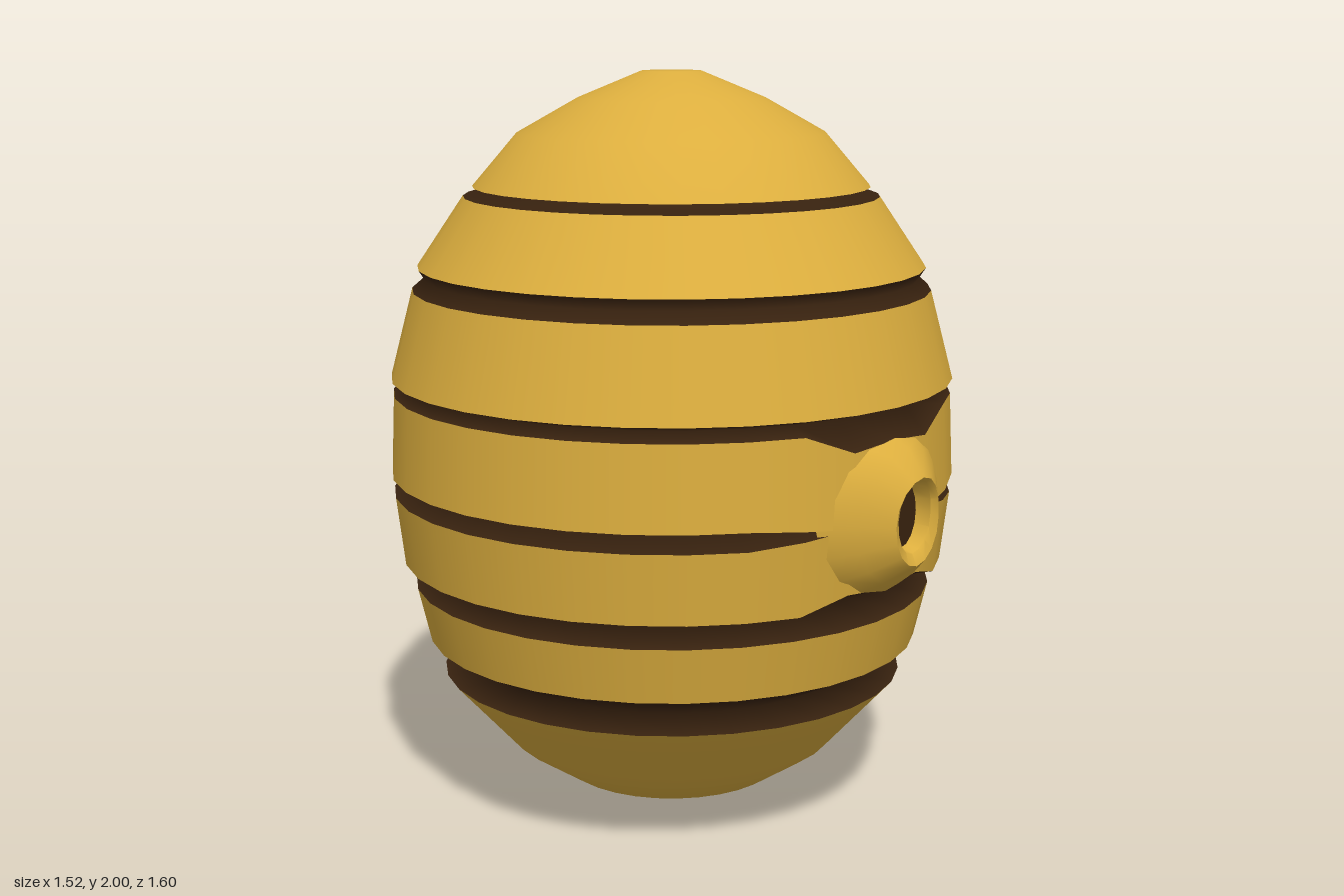
import * as THREE from 'three';
import { toCreasedNormals } from 'three/addons/utils/BufferGeometryUtils.js';

const SIDES = 32;
const AXIS_Z = -0.04;

// Coils from bottom to top, each a list of [radius, height].
const coils = [
  [[0, 0], [0.1, 0], [0.3, 0.08], [0.45, 0.18], [0.63, 0.38]],
  [[0.67, 0.48], [0.705, 0.63]],
  [[0.735, 0.70], [0.757, 0.885]],
  [[0.762, 0.935], [0.752, 1.155]],
  [[0.757, 1.195], [0.695, 1.43]],
  [[0.68, 1.49], [0.555, 1.675]],
  [[0.53, 1.70], [0.41, 1.84], [0.25, 1.93], [0.08, 2], [0, 2]],
];
// Deepest point of the groove above each coil.
const grooves = [[0.49, 0.39], [0.58, 0.665], [0.58, 0.91], [0.69, 1.175], [0.66, 1.46], [0.38, 1.69]];

// Coil edges that bend where they meet the entrance: height, new height, pull at each step from the front.
const bends = [
  [0.70, 0.735, [0.7, 1, 0]],
  [0.885, 0.91, [1, 1, 0.45]],
  [0.935, 0.91, [1, 1, 0.45]],
  [1.155, 1.10, [0.75, 1, 0]],
];

function revolve(profile) {
  const points = profile.map(([r, y]) => new THREE.Vector2(r, y));
  const geometry = new THREE.LatheGeometry(points, SIDES);
  const pos = geometry.attributes.position;
  for (let i = 0; i < pos.count; i++) {
    const step = Math.floor(i / points.length);
    const fromFront = Math.min(step, SIDES - step);
    for (const [from, to, pull] of bends) {
      if (Math.abs(pos.getY(i) - from) < 0.001) {
        pos.setY(i, from + (to - from) * (pull[fromFront] ?? 0));
        break;
      }
    }
  }
  return geometry;
}

// Raised lip made of oval rings: [half width, half height, centre y, z at sides, z at top, z at bottom].
function entranceGeometry() {
  const rings = [
    [0.25, 0.20, 0.917, 0.66, 0.71, 0.69],
    [0.17, 0.175, 0.92, 0.725, 0.755, 0.73],
    [0.09, 0.115, 0.915, 0.785, 0.80, 0.785],
    [0.068, 0.095, 0.925, 0.775, 0.79, 0.77],
    [0.06, 0.085, 0.925, 0.73, 0.73, 0.73],
  ];
  const n = 16, positions = [], index = [];
  rings.forEach(([w, h, cy, zSide, zTop, zBottom], r) => {
    for (let i = 0; i < n; i++) {
      const a = (i / n) * Math.PI * 2, s = Math.sin(a);
      const z = zSide + ((s > 0 ? zTop : zBottom) - zSide) * s * s;
      positions.push(w * Math.cos(a), cy + h * s, z);
      if (r === 0) continue;
      const j = (i + 1) % n, o = (r - 1) * n, k = r * n;
      index.push(o + i, o + j, k + j, o + i, k + j, k + i);
    }
  });
  const geometry = new THREE.BufferGeometry();
  geometry.setAttribute('position', new THREE.Float32BufferAttribute(positions, 3));
  geometry.setIndex(index);
  return toCreasedNormals(geometry, 0.9);
}

export function createModel() {
  const honey = new THREE.MeshStandardMaterial({ color: 0xdcae3e });
  honey.name = 'honey yellow';
  const brown = new THREE.MeshStandardMaterial({ color: 0x38220f });
  brown.name = 'dark brown';

  const hive = new THREE.Group();
  hive.name = 'beehive';
  const add = (name, geometry, material, x = 0, y = 0, z = 0) => {
    const mesh = new THREE.Mesh(geometry, material);
    mesh.name = name;
    mesh.position.set(x, y, z);
    hive.add(mesh);
    return mesh;
  };

  // Stacked coils
  coils.forEach((profile, i) => add(`coil${i + 1}`, revolve(profile), honey, 0, 0, AXIS_Z));

  // Dark notches between the coils
  grooves.forEach((deep, i) => {
    const below = coils[i][coils[i].length - 1];
    const above = coils[i + 1][0];
    add(`groove${i + 1}`, revolve([below, deep, above]), brown, 0, 0, AXIS_Z);
  });

  // Entrance lip and its dark opening
  add('entranceLip', entranceGeometry(), honey);
  const hole = add('entranceHole', new THREE.CircleGeometry(1, 16), brown, 0, 0.925, 0.735);
  hole.scale.set(0.064, 0.09, 1);

  return hive;
}
